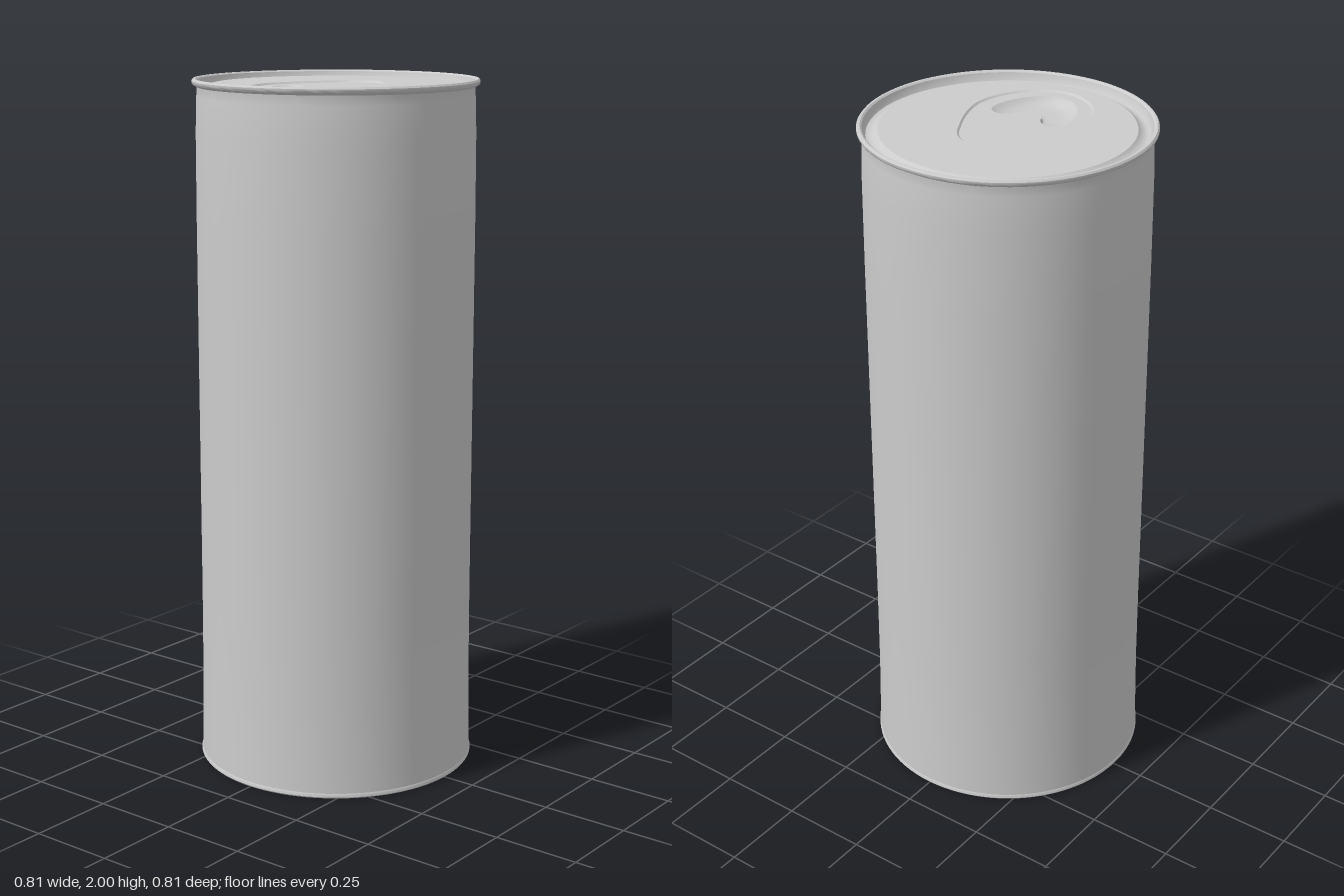
import * as THREE from 'three';
import { toCreasedNormals } from 'three/addons/utils/BufferGeometryUtils.js';

const metal = new THREE.MeshStandardMaterial({ color: 0xcccccc });
const LID_Y = 1.985, PANEL_Y = 1.98, CX = 0.01;
const SAMPLES = 96;

function part(name, geometry, crease = 0.6) {
  const mesh = new THREE.Mesh(toCreasedNormals(geometry, crease), metal);
  mesh.name = name;
  return mesh;
}

// Closed outline mirrored about x = CX from [halfWidth, z] points, back to front
function outline(half) {
  const mirrored = half.slice(1, -1).reverse().map(([x, z]) => [-x, z]);
  const pts = [...half, ...mirrored].map(([x, z]) => new THREE.Vector3(CX + x, 0, z));
  return new THREE.CatmullRomCurve3(pts, true).getPoints(SAMPLES).slice(0, SAMPLES);
}

// Ring scaled about a point and set to a height
function ring(points, y, s = 1, cz = 0.19) {
  return points.map(p => new THREE.Vector3(CX + (p.x - CX) * s, y, cz + (p.z - cz) * s));
}

// Upward-facing skin between successive rings, outermost first
function loft(rings) {
  const pos = [], index = [], n = rings[0].length;
  rings.forEach(r => r.forEach(p => pos.push(p.x, p.y, p.z)));
  for (let k = 0; k < rings.length - 1; k++) {
    for (let i = 0; i < n; i++) {
      const j = (i + 1) % n;
      const a = k * n + i, b = a + n, c = k * n + j, d = c + n;
      index.push(a, b, c, b, d, c);
    }
  }
  const g = new THREE.BufferGeometry();
  g.setAttribute('position', new THREE.Float32BufferAttribute(pos, 3));
  g.setIndex(index);
  g.computeVertexNormals();
  return g;
}

// Flat horizontal sheet with one opening
function sheet(outer, hole, y) {
  const flat = pts => pts.map(p => new THREE.Vector2(p.x, -p.z));
  const shape = new THREE.Shape(flat(outer));
  shape.holes.push(new THREE.Path(flat(hole)));
  return new THREE.ShapeGeometry(shape).rotateX(-Math.PI / 2).translate(0, y, 0);
}

function lathe(profile) {
  return new THREE.LatheGeometry(profile.map(([r, y]) => new THREE.Vector2(r, y)), SAMPLES);
}

export function createModel() {
  const can = new THREE.Group();
  can.name = 'can';

  // Recessed base and its rolled rim
  can.add(part('base', lathe([
    [0, 0.014], [0.386, 0.014], [0.391, 0.004], [0.396, 0], [0.402, 0],
    [0.405, 0.004], [0.405, 0.009], [0.402, 0.014],
  ])));

  // Tall wall, slightly flared at the foot and necked at the top
  can.add(part('body', lathe([
    [0.402, 0.014], [0.401, 0.08], [0.398, 0.25], [0.397, 0.5],
    [0.397, 1.6], [0.396, 1.85], [0.393, 1.95], [0.391, 1.972], [0.392, 1.978],
  ])));

  // Rolled top seam, inner wall and the groove around the lid
  can.add(part('topRim', lathe([
    [0.392, 1.978], [0.403, 1.984], [0.406, 1.989], [0.406, 1.995], [0.402, 2],
    [0.396, 2], [0.391, 1.996], [0.387, 1.982], [0.382, 1.974], [0.374, 1.972],
    [0.362, 1.975], [0.353, 1.981], [0.349, LID_Y],
  ])));

  // Egg-shaped panel and heart-shaped finger well outlines
  const egg = outline([
    [0, -0.155], [0.062, -0.128], [0.108, -0.06], [0.15, 0.03],
    [0.168, 0.11], [0.148, 0.2], [0.095, 0.272], [0, 0.31],
  ]);
  const heart = outline([
    [0, 0.142], [0.03, 0.122], [0.058, 0.086], [0.085, 0.077], [0.112, 0.09],
    [0.121, 0.122], [0.108, 0.18], [0.075, 0.235], [0.037, 0.263], [0, 0.27],
  ]);
  const edge = Array.from({ length: SAMPLES }, (_, i) => {
    const a = i / SAMPLES * Math.PI * 2;
    return new THREE.Vector3(0.349 * Math.sin(a), 0, -0.349 * Math.cos(a));
  });

  // Lid, with the panel stepped down into it
  const eggInner = ring(egg, PANEL_Y, 0.97, 0.09);
  can.add(part('lid', sheet(edge, egg, LID_Y)));
  can.add(part('panelStep', loft([ring(egg, LID_Y), eggInner])));
  can.add(part('panel', sheet(eggInner, heart, PANEL_Y)));

  // Bowl pressed into the panel
  const bowl = [[1, 0], [0.96, 0.004], [0.88, 0.011], [0.76, 0.017], [0.55, 0.021], [0.3, 0.022], [0.001, 0.022]];
  can.add(part('fingerWell', loft(bowl.map(([s, d]) => ring(heart, PANEL_Y - d, s))), 0.9));

  return can;
}
